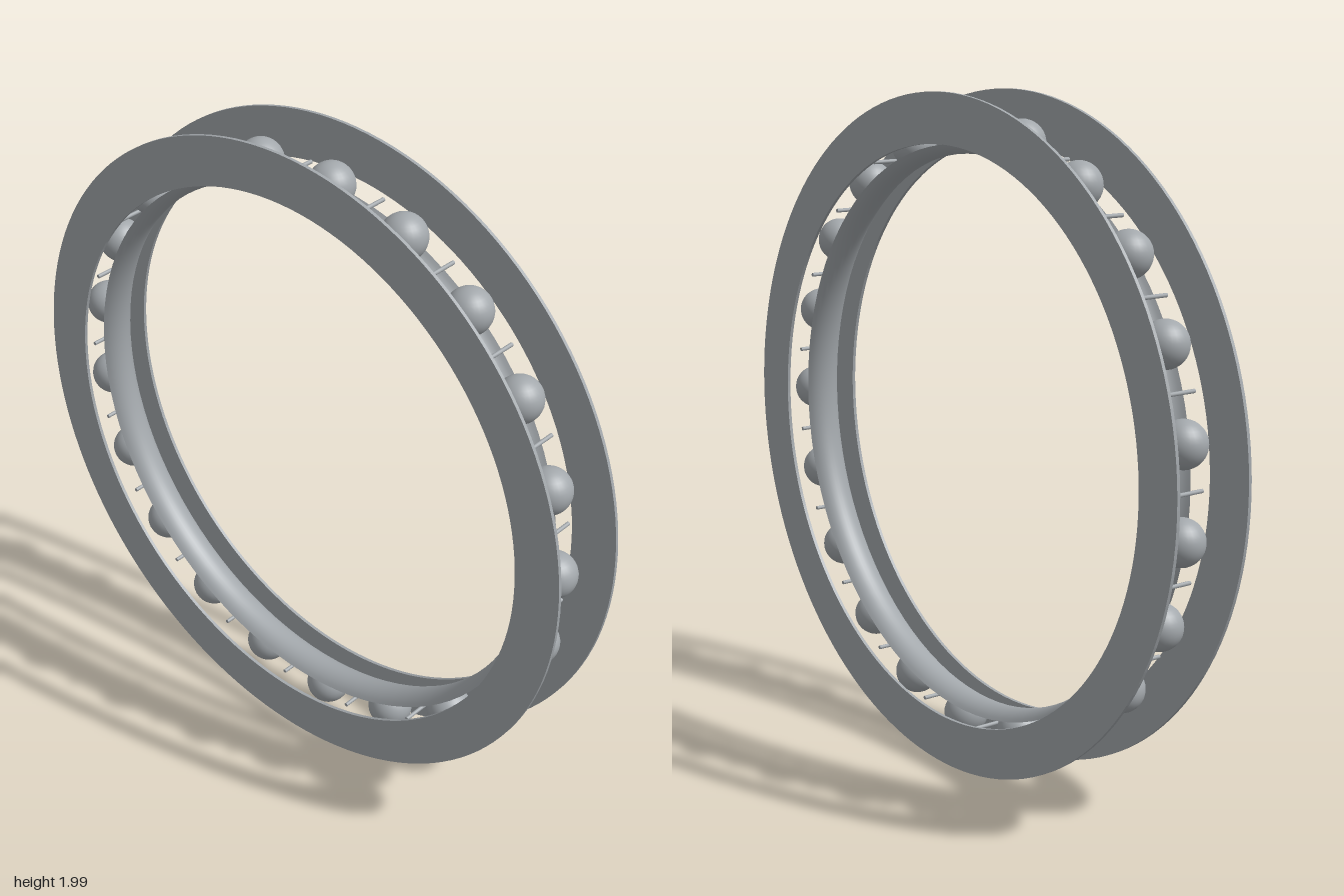
import * as THREE from 'three';

export function createModel() {
  const model = new THREE.Group();
  const steel = new THREE.MeshStandardMaterial({ color: 0xa3a8ac, side: THREE.DoubleSide });
  steel.name = 'steel grey';

  const bearing = new THREE.Group(); // wheel centre, axis along z
  bearing.name = 'bearing';
  bearing.position.y = 1;
  model.add(bearing);

  const add = (geometry, name, x = 0, y = 0, z = 0) => {
    const mesh = new THREE.Mesh(geometry, steel);
    mesh.name = name;
    mesh.position.set(x, y, z);
    bearing.add(mesh);
    return mesh;
  };

  const pitch = 0.883, ballR = 0.067, count = 21;

  // Thin flat washers at the front and back
  const ring = new THREE.Shape().absarc(0, 0, 0.996, 0, Math.PI * 2, false);
  ring.holes.push(new THREE.Path().absarc(0, 0, 0.85, 0, Math.PI * 2, true));
  const washer = new THREE.ExtrudeGeometry(ring, { depth: 0.01, bevelEnabled: false, curveSegments: 72 });
  washer.translate(0, 0, -0.005);
  add(washer, 'frontWasher', 0, 0, 0.125);
  add(washer, 'backWasher', 0, 0, -0.125);

  // Inner race: a thin trough that cups the inner side of the balls
  const profile = [];
  for (let i = 0; i <= 12; i++) {
    const a = THREE.MathUtils.degToRad(-56 + (112 * i) / 12);
    profile.push(new THREE.Vector2(pitch - ballR * Math.cos(a), ballR * Math.sin(a)));
  }
  const race = new THREE.LatheGeometry(profile, 96);
  race.rotateX(Math.PI / 2);
  add(race, 'innerRace');

  // Balls, with a slim spacer pin midway between neighbours
  const ball = new THREE.SphereGeometry(ballR, 28, 18);
  const pin = new THREE.CylinderGeometry(0.006, 0.006, 0.125, 10);
  pin.rotateX(Math.PI / 2);
  for (let i = 0; i < count; i++) {
    const a = (i / count) * Math.PI * 2;
    const b = a + Math.PI / count;
    add(ball, 'ball', pitch * Math.cos(a), pitch * Math.sin(a));
    add(pin, 'spacerPin', pitch * Math.cos(b), pitch * Math.sin(b));
  }
  return model;
}
